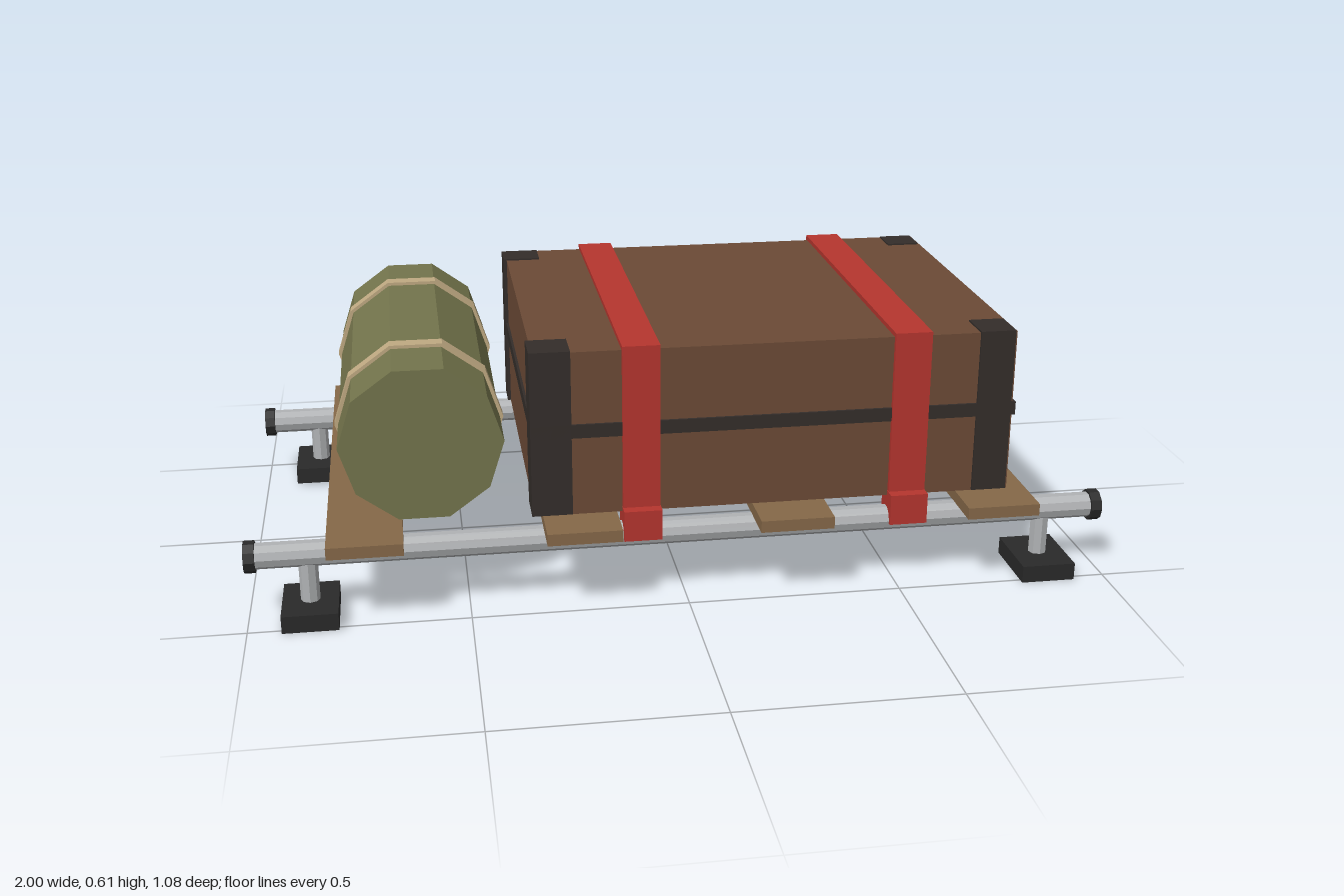
import * as THREE from 'three';

const mat = (color) => new THREE.MeshStandardMaterial({ color, flatShading: true });

export function createModel() {
  const root = new THREE.Group();
  const metal = mat(0xb0b2b4), rubber = mat(0x2a2a2a), wood = mat(0x856848);
  const leather = mat(0x6b4a36), trim = mat(0x332d2a), red = mat(0xb5352e);
  const canvas = mat(0x73744c), cord = mat(0xbfa982);

  const add = (name, geometry, material, x, y, z) => {
    const mesh = new THREE.Mesh(geometry, material);
    mesh.name = name;
    mesh.position.set(x, y, z);
    root.add(mesh);
    return mesh;
  };
  // Box given by its lower and upper corners
  const box = (name, material, [x0, y0, z0], [x1, y1, z1]) =>
    add(name, new THREE.BoxGeometry(x1 - x0, y1 - y0, z1 - z0), material,
      (x0 + x1) / 2, (y0 + y1) / 2, (z0 + z1) / 2);
  const cyl = (r, length, sides, start = 0) =>
    new THREE.CylinderGeometry(r, r, length, sides, 1, false, start);

  // Rails with end caps, posts and feet
  for (const s of [1, -1]) {
    const z = 0.43 * s;
    add('rail', cyl(0.03, 1.96, 10).rotateZ(Math.PI / 2), metal, 0, 0.155, z);
    for (const e of [1, -1]) {
      add('railCap', cyl(0.037, 0.025, 10).rotateZ(Math.PI / 2), rubber, 0.9875 * e, 0.154, z);
      add('post', cyl(0.022, 0.11, 8), metal, 0.86 * e, 0.09, z);
      const lift = s > 0 ? 0 : 0.005;
      add('foot', new THREE.BoxGeometry(0.127, 0.041, 0.17), rubber, 0.86 * e, 0.0205 + lift, z);
    }
  }

  // Wooden slats across the rails
  for (const x of [-0.73, -0.243, 0.243, 0.73]) {
    add('slat', new THREE.BoxGeometry(0.17, 0.028, 1.076), wood, x, 0.197, 0);
  }

  // Trunk with seam band, handle and corner guards
  box('trunk', leather, [-0.345, 0.211, -0.432], [0.77, 0.6, 0.432]);
  box('trunkBand', trim, [-0.351, 0.398, -0.438], [0.776, 0.43, 0.438]);
  box('trunkHandle', trim, [0.063, 0.387, -0.485], [0.36, 0.442, -0.43]);
  for (const [x0, x1] of [[-0.353, -0.26], [0.683, 0.765]]) {
    for (const [z0, z1] of [[-0.425, -0.345], [0.345, 0.438]]) {
      box('cornerGuard', trim, [x0, 0.213, z0], [x1, 0.604, z1]);
    }
  }

  // Straps over the trunk, clamped to the rails
  for (const x of [-0.102, 0.523]) {
    const x0 = x - 0.043, x1 = x + 0.043;
    box('strapTop', red, [x0, 0.597, -0.443], [x1, 0.611, 0.443]);
    for (const s of [1, -1]) {
      add('strapSide', new THREE.BoxGeometry(0.086, 0.41, 0.014), red, x, 0.405, 0.436 * s);
      add('strapClamp', new THREE.BoxGeometry(0.088, 0.073, 0.076), red, x, 0.187, 0.431 * s);
    }
  }

  // Bedroll with two ties
  const roll = (r, length) => cyl(r, length, 10, Math.PI / 2).rotateX(Math.PI / 2);
  add('bedroll', roll(0.185, 0.865), canvas, -0.595, 0.4, 0);
  for (const z of [-0.257, 0.257]) add('bedrollTie', roll(0.193, 0.036), cord, -0.595, 0.4, z);

  return root;
}
